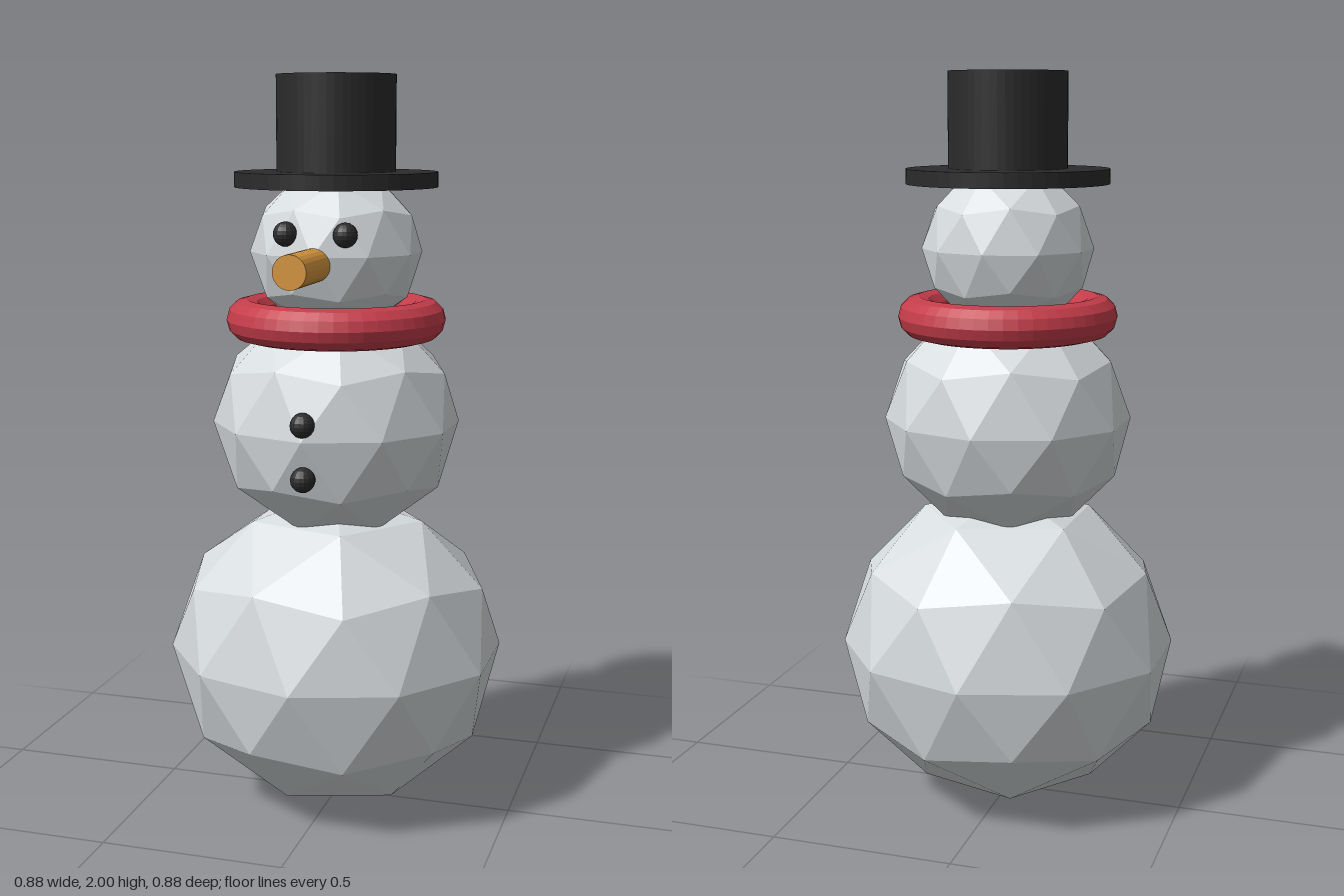
import * as THREE from 'three';

const mat = (name, color) => {
  const m = new THREE.MeshStandardMaterial({ color });
  m.name = name;
  return m;
};

// Give every triangle its own normal for a faceted look
function faceted(geometry) {
  const g = geometry.index ? geometry.toNonIndexed() : geometry;
  g.computeVertexNormals();
  return g;
}

// 80-sided ball with a corner at each pole, stretched so its width is 2r
function snowball(r) {
  const g = new THREE.IcosahedronGeometry(r, 1);
  g.rotateZ(-Math.atan(2 / (1 + Math.sqrt(5))));
  g.scale(1 / Math.cos(Math.PI / 10), 1, 1);
  return faceted(g);
}

export function createModel() {
  const model = new THREE.Group();
  model.name = 'snowman';

  const snow = mat('snow', 0xd6dbde);
  const coal = mat('coal', 0x2b2b2b);
  const red = mat('scarfRed', 0xc43c4a);
  const orange = mat('carrotOrange', 0xd9983f);

  const add = (name, geometry, material, x, y, z) => {
    const mesh = new THREE.Mesh(geometry, material);
    mesh.name = name;
    mesh.position.set(x, y, z);
    model.add(mesh);
    return mesh;
  };

  // Three stacked snowballs
  add('base', snowball(0.44), snow, 0, 0.44, 0);
  add('torso', snowball(0.32), snow, 0, 1.08, 0);
  add('head', snowball(0.22), snow, 0, 1.54, 0);

  // Scarf ring around the neck
  const ring = new THREE.TorusGeometry(0.24, 0.055, 12, 48).rotateX(Math.PI / 2);
  add('scarf', faceted(ring), red, 0, 1.36, 0);

  // Top hat
  add('hatBrim', faceted(new THREE.CylinderGeometry(0.27, 0.27, 0.04, 48)), coal, 0, 1.73, 0);
  add('hatCrown', faceted(new THREE.CylinderGeometry(0.158, 0.158, 0.26, 48)), coal, 0, 1.87, 0);

  // Blunt nose pointing forward
  const nose = new THREE.CylinderGeometry(0.044, 0.044, 0.25, 24).rotateX(Math.PI / 2);
  add('nose', faceted(nose), orange, 0, 1.52, 0.28);

  // Eyes and buttons
  const eye = faceted(new THREE.SphereGeometry(0.032, 16, 10));
  add('leftEye', eye, coal, 0.08, 1.597, 0.19);
  add('rightEye', eye, coal, -0.08, 1.597, 0.19);

  const button = faceted(new THREE.SphereGeometry(0.033, 16, 10));
  add('upperButton', button, coal, 0, 1.122, 0.303);
  add('lowerButton', button, coal, 0, 0.98, 0.303);

  return model;
}
